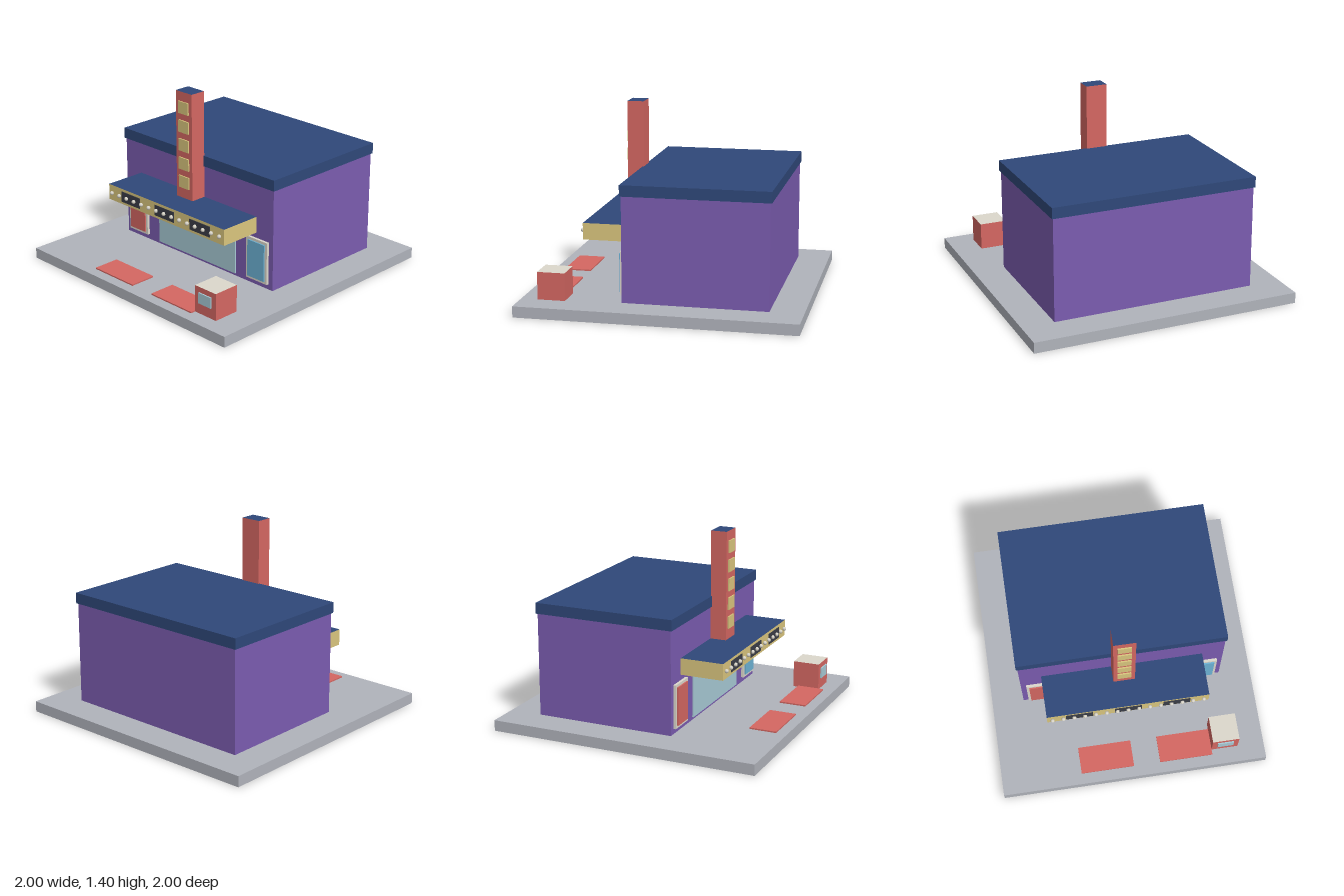
import * as THREE from 'three';

const C = {
  stone: 0xb0b3bb, wall: 0x7b5cb0, roof: 0x2f4879, red: 0xd46762, gold: 0xdac67e,
  glass: 0xa8cbd6, blue: 0x6db3d6, cream: 0xdcd8cc, dark: 0x3a3d47, bulb: 0xd8d4c8,
};
const mats = {};
const mat = (key) => (mats[key] ??= new THREE.MeshStandardMaterial({ color: C[key] }));

export function createModel() {
  const model = new THREE.Group();

  // Box given by its extents; an optional colour replaces the top face
  const box = (name, color, [x0, x1], [y0, y1], [z0, z1], top) => {
    const side = mat(color);
    const material = top ? [side, side, mat(top), side, side, side] : side;
    const mesh = new THREE.Mesh(new THREE.BoxGeometry(x1 - x0, y1 - y0, z1 - z0), material);
    mesh.position.set((x0 + x1) / 2, (y0 + y1) / 2, (z0 + z1) / 2);
    mesh.name = name;
    model.add(mesh);
  };

  // Ground slab, hall and roof band
  box('groundSlab', 'stone', [-1, 1], [0, 0.08], [-1, 1]);
  box('hall', 'wall', [-0.76, 0.76], [0.08, 0.9], [-0.76, 0.28]);
  box('roof', 'roof', [-0.77, 0.77], [0.84, 0.92], [-0.77, 0.29]);

  // Canopy over the entrance
  box('canopy', 'gold', [-0.6, 0.6], [0.48, 0.6], [0.28, 0.6], 'roof');
  for (const x of [-0.36, 0, 0.36]) box('canopyPanel', 'dark', [x - 0.1, x + 0.1], [0.5, 0.58], [0.59, 0.605]);

  // Row of bulbs along the canopy front
  const bulbGeometry = new THREE.SphereGeometry(0.015, 12, 8);
  for (let i = -7; i <= 7; i++) {
    const bulb = new THREE.Mesh(bulbGeometry, mat('bulb'));
    bulb.name = 'canopyBulb';
    bulb.position.set(i * 0.08, 0.54, 0.61);
    model.add(bulb);
  }

  // Sign tower with five square lights
  box('tower', 'red', [-0.08, 0.08], [0.6, 1.4], [0.28, 0.4], 'roof');
  for (let i = 0; i < 5; i++) {
    const y = 0.68 + i * 0.14;
    box('towerLight', 'gold', [-0.05, 0.05], [y, y + 0.09], [0.39, 0.41]);
  }

  // Glazed entrance and framed posters
  box('entranceGlass', 'glass', [-0.4, 0.4], [0.1, 0.44], [0.27, 0.29]);
  for (const [x, color] of [[-0.62, 'red'], [0.62, 'blue']]) {
    box('posterFrame', 'cream', [x - 0.1, x + 0.1], [0.12, 0.44], [0.27, 0.3]);
    box('poster', color, [x - 0.08, x + 0.08], [0.14, 0.42], [0.29, 0.31]);
  }

  // Carpets and ticket booth on the forecourt
  for (const x of [-0.2, 0.4]) box('carpet', 'red', [x - 0.2, x + 0.2], [0.07, 0.09], [0.72, 0.92]);
  box('ticketBooth', 'red', [0.6, 0.8], [0.08, 0.28], [0.68, 0.88], 'cream');
  box('boothWindow', 'glass', [0.64, 0.76], [0.16, 0.24], [0.87, 0.89]);

  return model;
}
